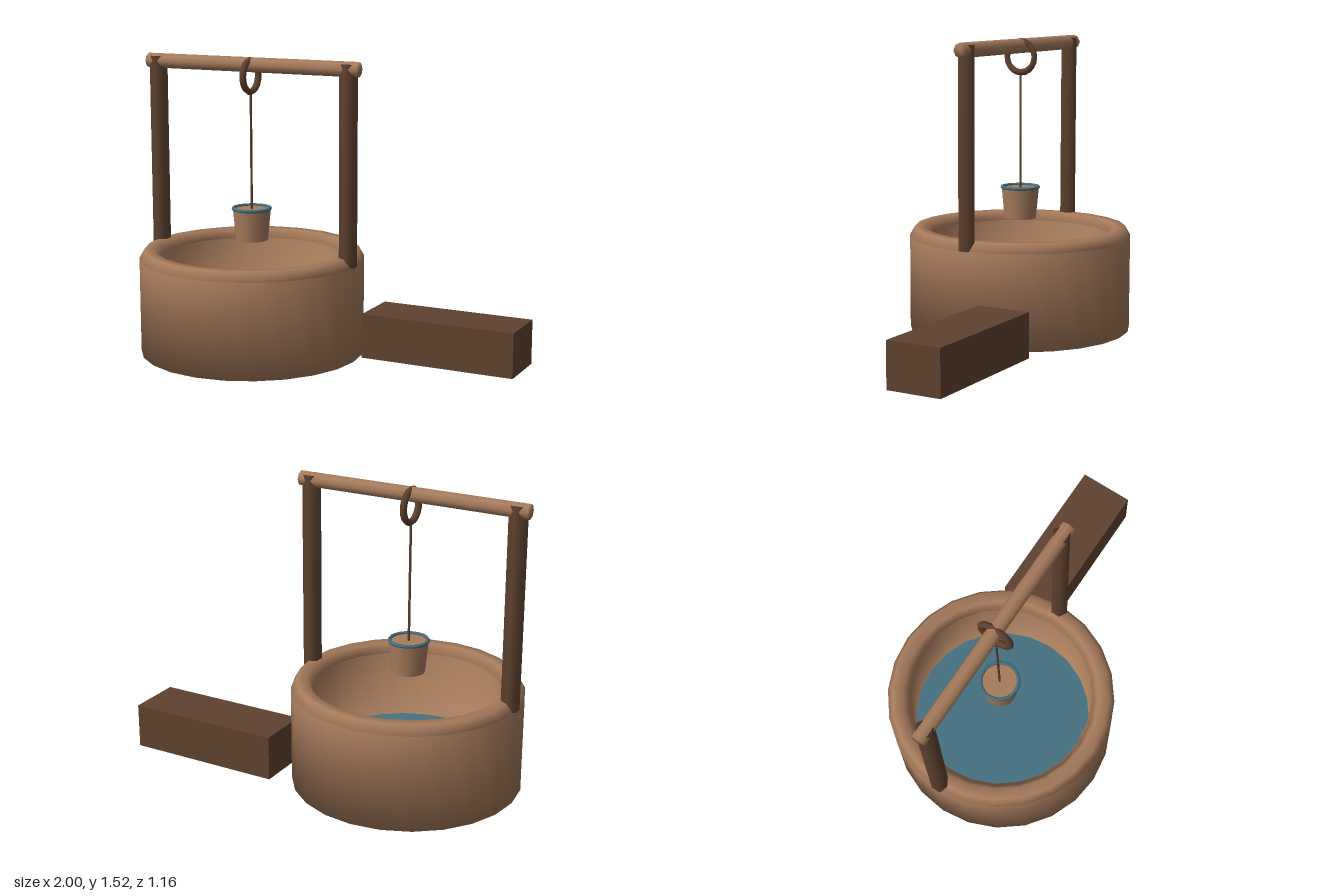
import * as THREE from 'three';

const material = (name, color) => {
  const m = new THREE.MeshStandardMaterial({ color });
  m.name = name;
  return m;
};

export function createModel() {
  const lightWood = material('light wood', 0xa67b5b);
  const darkWood = material('dark wood', 0x5f422f);
  const water = material('water blue', 0x46707f);

  const model = new THREE.Group();
  model.name = 'well';
  const cx = -0.395; // centre line of the well

  const add = (name, geometry, mat, x = 0, y = 0, z = 0) => {
    const mesh = new THREE.Mesh(geometry, mat);
    mesh.name = name;
    mesh.position.set(x, y, z);
    model.add(mesh);
    return mesh;
  };

  // Softly shaded turned solid from [radius, height] pairs
  const turned = (profile, sides) =>
    new THREE.LatheGeometry(profile.map(([r, y]) => new THREE.Vector2(r, y)), sides);
  const rod = (bottom, top, height, sides) =>
    turned([[0, 0], [bottom, 0], [top, height], [0, height]], sides);

  // Round wall with its floor, and the rounded rim
  add('wall', turned([[0, 0], [0.58, 0], [0.58, 0.49], [0.46, 0.49], [0.46, 0.13], [0, 0.13]], 24),
    lightWood, cx);
  add('rim', new THREE.TorusGeometry(0.525, 0.055, 6, 24), lightWood, cx, 0.49).rotation.x = -Math.PI / 2;

  // Water surface
  add('waterSurface', new THREE.CircleGeometry(0.46, 24), water, cx, 0.145).rotation.x = -Math.PI / 2;

  // Posts and cross beam
  for (const [name, side] of [['leftPost', 1], ['rightPost', -1]]) {
    add(name, rod(0.046, 0.046, 1.015, 6), darkWood, cx + side * 0.548, 0.49);
  }
  add('beam', rod(0.038, 0.038, 1.21, 8), lightWood, 0.21, 1.48).rotation.z = Math.PI / 2;

  // Ring around the beam and the rope
  add('ring', new THREE.TorusGeometry(0.08, 0.017, 6, 20), darkWood, cx, 1.423).rotation.y = Math.PI / 2;
  add('rope', new THREE.CylinderGeometry(0.006, 0.006, 0.61, 6), darkWood, cx, 1.04);

  // Bucket with a coloured rim
  add('bucket', new THREE.CylinderGeometry(0.098, 0.083, 0.16, 16), lightWood, cx, 0.66);
  add('bucketRim', new THREE.TorusGeometry(0.095, 0.009, 6, 20), water, cx, 0.743).rotation.x = -Math.PI / 2;

  // Trough beside the well
  add('trough', new THREE.BoxGeometry(0.81, 0.23, 0.285), darkWood, 0.595, 0.115, -0.2325);

  return model;
}
